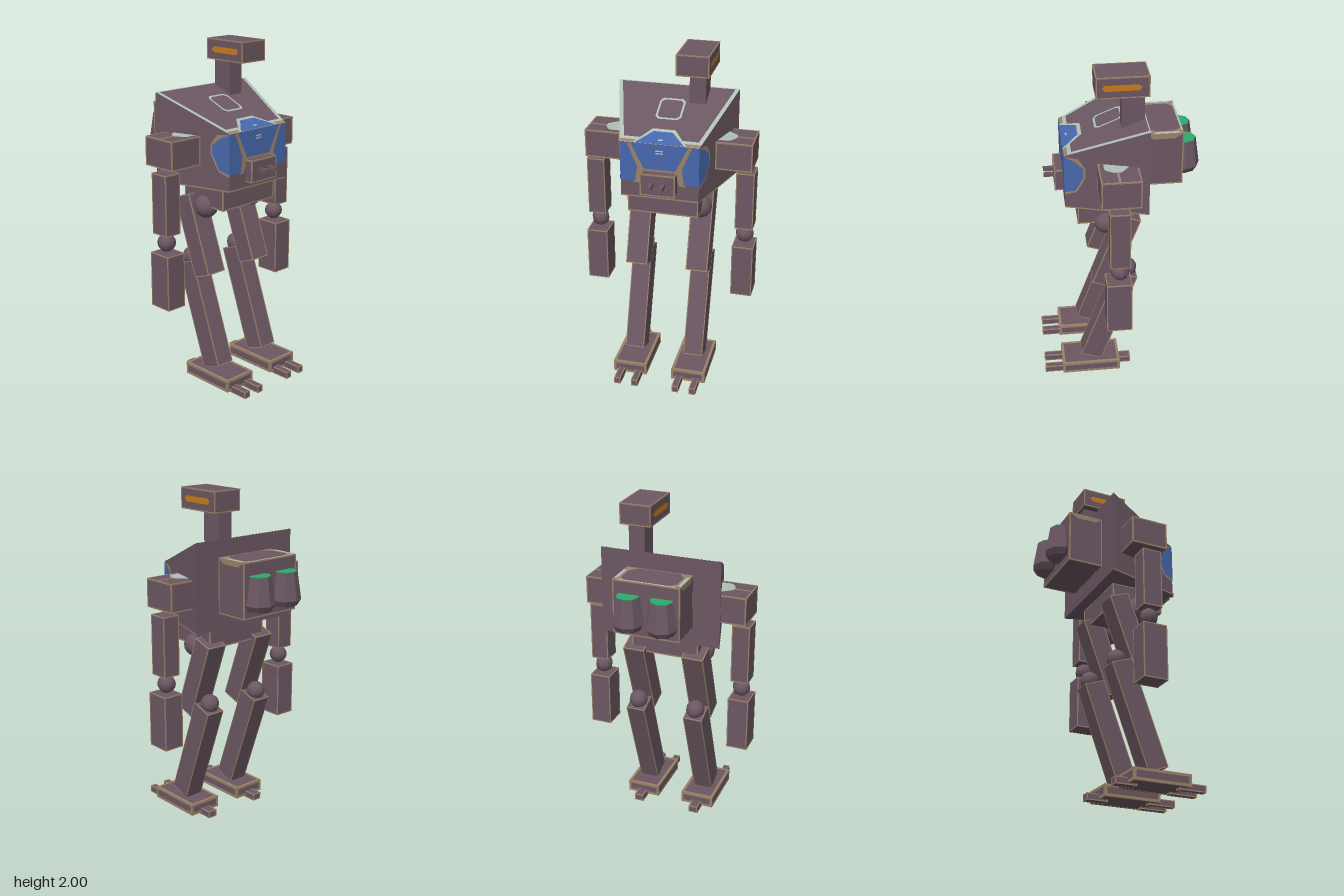
import * as THREE from 'three';
import { mergeGeometries } from 'three/addons/utils/BufferGeometryUtils.js';

const paint = (name, color, side = THREE.FrontSide) => {
  const m = new THREE.MeshStandardMaterial({ color, side });
  m.name = name;
  return m;
};

export function createModel() {
  const model = new THREE.Group();
  model.name = 'walkingRobot';
  const hull = paint('hull mauve', 0x6b5762);
  const tan = paint('worn tan', 0x9a8268, THREE.DoubleSide);
  const pale = paint('pale edge', 0xaebfb5, THREE.DoubleSide);
  const blue = paint('canopy blue', 0x4767ab, THREE.DoubleSide);
  const green = paint('thruster green', 0x2cab6e, THREE.DoubleSide);
  const orange = paint('sensor orange', 0xc67c1c, THREE.DoubleSide);

  const add = (name, geometry, material, x = 0, y = 0, z = 0) => {
    const mesh = new THREE.Mesh(geometry, material);
    mesh.name = name;
    mesh.position.set(x, y, z);
    model.add(mesh);
    return mesh;
  };

  // Slim bars along the twelve edges of a box
  const edgeBars = (size, t) => {
    const bars = [];
    for (let axis = 0; axis < 3; axis++) {
      const u = (axis + 1) % 3, v = (axis + 2) % 3;
      for (const a of [-1, 1]) for (const b of [-1, 1]) {
        const s = [t, t, t], p = [0, 0, 0];
        s[axis] = size[axis] + 0.002;
        p[u] = a * (size[u] / 2 - t / 2 + 0.001);
        p[v] = b * (size[v] / 2 - t / 2 + 0.001);
        bars.push(new THREE.BoxGeometry(...s).translate(...p));
      }
    }
    return mergeGeometries(bars);
  };

  // Box given by its limits, with optional worn edges
  const box = (name, [x0, x1], [y0, y1], [z0, z1], trim = 0) => {
    const size = [x1 - x0, y1 - y0, z1 - z0];
    const mesh = add(name, new THREE.BoxGeometry(...size), hull, (x0 + x1) / 2, (y0 + y1) / 2, (z0 + z1) / 2);
    if (trim) {
      const edges = new THREE.Mesh(edgeBars(size, trim), tan);
      edges.name = name + 'Edges';
      mesh.add(edges);
    }
    return mesh;
  };

  // Flat painted polygon placed on a surface by a mapping rule
  const plate = (name, points, material, map, hole) => {
    const shape = new THREE.Shape(points.map(p => new THREE.Vector2(...p)));
    if (hole) shape.holes.push(new THREE.Path(hole.map(p => new THREE.Vector2(...p))));
    const g = new THREE.ShapeGeometry(shape);
    const pos = g.attributes.position;
    for (let i = 0; i < pos.count; i++) pos.setXYZ(i, ...map(pos.getX(i), pos.getY(i)));
    g.computeVertexNormals();
    return add(name, g, material);
  };
  const rect = (a0, a1, b0, b1) => [[a0, b0], [a1, b0], [a1, b1], [a0, b1]];
  const mirror = pts => pts.map(([x, y]) => [-x, y]);

  // Torso: a box tapered to the front, with a sloping roof
  const halfWidth = z => 0.36 - (z + 0.15) * 0.135 / 0.46;
  const roofY = z => 1.73 - (z + 0.15) * 0.19 / 0.46;
  const torso = new THREE.BoxGeometry(2, 2, 2);
  const tp = torso.attributes.position;
  for (let i = 0; i < tp.count; i++) {
    const z = tp.getZ(i) > 0 ? 0.31 : -0.15;
    tp.setXYZ(i, tp.getX(i) * halfWidth(z), tp.getY(i) > 0 ? roofY(z) : 1.21, z);
  }
  torso.computeVertexNormals();
  add('torso', torso, hull);

  // Roof paint
  const roof = lift => (x, z) => [x, roofY(z) + lift, z];
  plate('roofBorder', [[-0.36, -0.15], [0.36, -0.15], [0.225, 0.31], [-0.225, 0.31]], pale, roof(0.002),
    [[-0.335, -0.144], [0.335, -0.144], [0.213, 0.268], [0.12, 0.268], [0.065, 0.198],
      [-0.065, 0.198], [-0.12, 0.268], [-0.213, 0.268]]);
  plate('roofCanopy', [[-0.14, 0.311], [0.14, 0.311], [0.055, 0.22], [-0.055, 0.22]], blue, roof(0.004));
  const ring = (w, z0, z1, c) => [[-w + c, z0], [w - c, z0], [w, z0 + c], [w, z1 - c],
    [w - c, z1], [-w + c, z1], [-w, z1 - c], [-w, z0 + c]];
  plate('hatchOutline', ring(0.075, -0.035, 0.125, 0.02), pale, roof(0.002), ring(0.063, -0.023, 0.113, 0.016));
  plate('roofMark', rect(-0.014, 0.014, 0.278, 0.288), pale, roof(0.006));

  // Front paint
  const front = lift => (x, y) => [x, y, 0.31 + lift];
  plate('canopyFrame', [[-0.2, 1.538], [0.2, 1.538], [0.135, 1.4], [0.15, 1.3], [-0.15, 1.3], [-0.135, 1.4]],
    tan, front(0.001));
  plate('canopyCentre', [[-0.165, 1.54], [0.165, 1.54], [0.09, 1.39], [-0.09, 1.39]], blue, front(0.003));
  plate('lowerPanel', [[-0.09, 1.375], [0.09, 1.375], [0.115, 1.3], [-0.115, 1.3]], hull, front(0.002));
  plate('frontSill', rect(-0.225, 0.225, 1.21, 1.219), tan, front(0.001));
  for (const y of [1.485, 1.5]) plate('canopyMark', rect(-0.022, 0.022, y, y + 0.008), pale, front(0.005));

  for (const s of [-1, 1]) {
    const side = s > 0 ? p => p : mirror;
    const X = (a, b) => s > 0 ? [a, b] : [-b, -a];

    // Torso side paint
    plate('canopyCheek', side([[0.185, 1.54], [0.226, 1.54], [0.226, 1.31], [0.14, 1.31], [0.128, 1.4]]), blue, front(0.003));
    plate('roofCorner', side([[0.14, 0.29], [0.23, 0.29], [0.225, 0.31], [0.15, 0.31]]), tan, roof(0.004));
    const flank = lift => (z, y) => [s * (halfWidth(z) + lift), y, z];
    plate('canopySide', [[0.312, 1.54], [0.25, 1.51], [0.205, 1.47], [0.205, 1.42], [0.25, 1.33], [0.312, 1.31]], blue, flank(0.003));
    plate('canopySideFrame', [[0.31, 1.54], [0.235, 1.53], [0.195, 1.475], [0.195, 1.415], [0.243, 1.32], [0.31, 1.295]], tan, flank(0.0015));
    plate('flankSill', rect(-0.15, 0.31, 1.21, 1.218), tan, flank(0.001));

    // Arm
    box('shoulder', X(0.28, 0.49), [1.345, 1.51], [-0.09, 0.13], 0.008);
    const top = lift => (x, z) => [x, 1.51 + lift, z];
    plate('shoulderSeam', side(rect(0.28, 0.488, 0.022, 0.036)), tan, top(0.0015));
    plate('shoulderPatch', side([[0.27, -0.06], [0.32, -0.045], [0.365, -0.01], [0.385, 0.01],
      [0.385, 0.05], [0.36, 0.09], [0.345, 0.1], [0.27, 0.1]]), pale, top(0.003));
    box('upperArm', X(0.395, 0.5), [0.955, 1.31], [-0.03, 0.085], 0.006);
    add('elbow', new THREE.SphereGeometry(0.054, 8, 8), hull, s * 0.447, 0.9, 0.025);
    box('forearm', X(0.385, 0.51), [0.515, 0.84], [-0.04, 0.105], 0.006);

    // Leg
    const x = s * 0.185;
    add('hipJoint', new THREE.SphereGeometry(0.07, 14, 10), hull, x, 1.075, 0.078);
    const thigh = box('thigh', X(0.12, 0.25), [0.645, 1.135], [-0.039, 0.084], 0.006);
    thigh.rotation.x = -0.35;
    add('kneeJoint', new THREE.SphereGeometry(0.056, 12, 8), hull, x, 0.735, -0.05);
    const shin = box('shin', X(0.127, 0.243), [0.08, 0.73], [0.0025, 0.1325], 0.005);
    shin.rotation.x = -0.345;

    // Foot with two toes and a heel spur
    box('foot', X(0.08, 0.285), [0.012, 0.082], [0.005, 0.36], 0.016);
    for (const t of [0.127, 0.233]) box('toe', X(t - 0.019, t + 0.019), [0, 0.04], [0.3, 0.47], 0.006);
    box('heelSpur', X(0.157, 0.213), [0, 0.04], [-0.07, 0.06], 0.006);

    // Thruster: flared bell, short bevelled end, green cap
    const bell = [[0, 1.355], [0.07, 1.355], [0.092, 1.39], [0.068, 1.55], [0, 1.55]];
    const lathe = new THREE.LatheGeometry(bell.map(p => new THREE.Vector2(...p)), 8).toNonIndexed();
    lathe.computeVertexNormals();
    add('thruster', lathe, hull, s * 0.1, 0, -0.378);
    add('thrusterCap', new THREE.CylinderGeometry(0.066, 0.066, 0.006, 8), green, s * 0.1, 1.551, -0.378);

    // Backpack wear
    const lid = lift => (px, z) => [px, 1.63 + lift, z];
    plate('packWear', side([[0.13, -0.352], [0.196, -0.352], [0.196, -0.158], [0.125, -0.158],
      [0.165, -0.21], [0.165, -0.31]]), tan, lid(0.0015));
    plate('packPaleEdge', side([[0.178, -0.33], [0.197, -0.345], [0.197, -0.19], [0.178, -0.21]]), pale, lid(0.003));
    plate('packSideWear', [[-0.36, 1.63], [-0.15, 1.63], [-0.19, 1.6], [-0.31, 1.6]], tan,
      (z, y) => [s * 0.1995, y, z]);

    // Head sensor strip
    plate('sensorStrip', [[-0.12, 1.94], [-0.1, 1.957], [0.085, 1.957], [0.1, 1.94], [0.08, 1.922], [-0.1, 1.922]],
      orange, (z, y) => [0.1425 + s * 0.0945, y, z]);

    // Chin gun barrel
    box('gunBarrel', X(0.022, 0.044), [1.308, 1.33], [0.35, 0.42]);
  }

  // Body blocks
  box('pelvis', [-0.207, 0.207], [1.08, 1.212], [-0.08, 0.24], 0.008);
  box('backpack', [-0.198, 0.198], [1.31, 1.63], [-0.36, -0.148], 0.008);
  plate('packRearEdge', rect(-0.17, 0.17, -0.36, -0.349), pale, (x, z) => [x, 1.6325, z]);
  box('chinGun', [-0.1, 0.1], [1.25, 1.377], [0.305, 0.36], 0.007);

  // Off-centre neck and head
  box('neck', [0.095, 0.19], [1.62, 1.885], [-0.14, -0.015]);
  box('head', [0.05, 0.235], [1.88, 2], [-0.16, 0.13], 0.007);

  return model;
}
